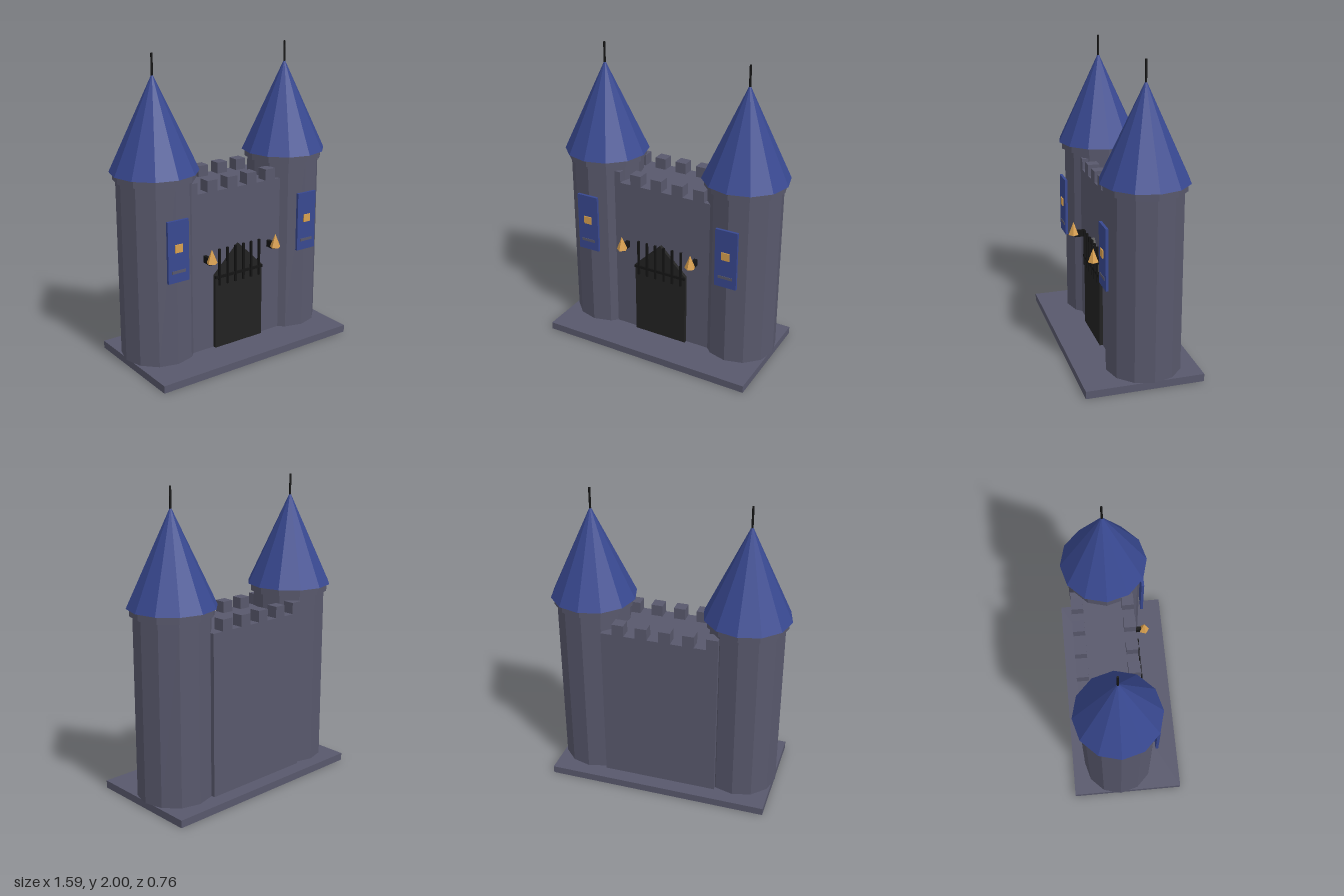
import * as THREE from 'three';

const mat = (name, color) => {
  const m = new THREE.MeshStandardMaterial({ color, flatShading: true });
  m.name = name;
  return m;
};

export function createModel() {
  const stone = mat('stone', 0x58586c);
  const blue = mat('blue', 0x384890);
  const wood = mat('dark gate', 0x222222);
  const iron = mat('black iron', 0x141414);
  const gold = mat('gold', 0xd9a04e);

  const model = new THREE.Group();
  model.name = 'castleGate';

  const add = (parent, name, geometry, material, x, y, z) => {
    const mesh = new THREE.Mesh(geometry, material);
    mesh.name = name;
    mesh.position.set(x, y, z);
    parent.add(mesh);
    return mesh;
  };
  const box = (parent, name, material, w, h, d, x, y, z) =>
    add(parent, name, new THREE.BoxGeometry(w, h, d), material, x, y, z);
  const cyl = (parent, name, material, r, y0, y1, sides, z = 0) =>
    add(parent, name, new THREE.CylinderGeometry(r, r, y1 - y0, sides), material, 0, (y0 + y1) / 2, z);

  // Ground slab and curtain wall
  box(model, 'base', stone, 1.48, 0.05, 0.765, 0, 0.025, 0);
  box(model, 'wall', stone, 0.77, 1.075, 0.405, 0, 0.5875, -0.0825);

  // Battlements along the front and back edges, starting at the right end
  const cell = 0.077;
  for (const [name, z] of [['frontMerlon', 0.0815], ['backMerlon', -0.2465]]) {
    for (let i = 0; i < 5; i++) {
      box(model, name, stone, cell, 0.075, cell, -0.385 + cell * (2 * i + 0.5), 1.1625, z);
    }
  }

  // Gate with a pointed top
  const outline = new THREE.Shape();
  outline.moveTo(-0.19, 0.05);
  outline.lineTo(0.19, 0.05);
  outline.lineTo(0.19, 0.56);
  outline.lineTo(0, 0.745);
  outline.lineTo(-0.19, 0.56);
  add(model, 'gate', new THREE.ExtrudeGeometry(outline, { depth: 0.025, bevelEnabled: false }), wood, 0, 0, 0.117);

  // Raised portcullis
  const portcullis = new THREE.Group();
  portcullis.name = 'portcullis';
  model.add(portcullis);
  for (let i = 0; i < 6; i++) {
    box(portcullis, 'bar', iron, 0.014, 0.25, 0.014, -0.16 + i * 0.064, 0.617, 0.147);
  }
  box(portcullis, 'crossBar', iron, 0.38, 0.018, 0.012, 0, 0.55, 0.146);

  for (const side of [-1, 1]) {
    // Tower with collar, cone roof and finial
    const tower = new THREE.Group();
    tower.name = side > 0 ? 'leftTower' : 'rightTower';
    tower.position.set(side * 0.512, 0, -0.052);
    model.add(tower);
    cyl(tower, 'shaft', stone, 0.243, 0.05, 1.23, 12);
    cyl(tower, 'collar', stone, 0.262, 1.228, 1.275, 12);
    add(tower, 'roof', new THREE.ConeGeometry(0.282, 0.605, 12), blue, 0, 1.5775, 0);
    cyl(tower, 'finial', iron, 0.007, 1.85, 2, 6);

    // Hanging banner with emblem and stripe
    const banner = new THREE.Group();
    banner.name = 'banner';
    banner.position.set(side * 0.512, 0, 0);
    model.add(banner);
    box(banner, 'cloth', blue, 0.152, 0.4, 0.018, 0, 0.82, 0.204);
    box(banner, 'emblem', gold, 0.055, 0.052, 0.008, 0, 0.842, 0.216);
    box(banner, 'stripe', stone, 0.1, 0.019, 0.004, 0, 0.69, 0.214);

    // Wall torch
    const torch = new THREE.Group();
    torch.name = 'torch';
    torch.position.set(side * 0.256, 0, 0);
    model.add(torch);
    box(torch, 'bracket', iron, 0.024, 0.045, 0.075, 0, 0.688, 0.155);
    add(torch, 'flame', new THREE.ConeGeometry(0.036, 0.092, 5), gold, 0, 0.729, 0.2);
  }

  return model;
}
